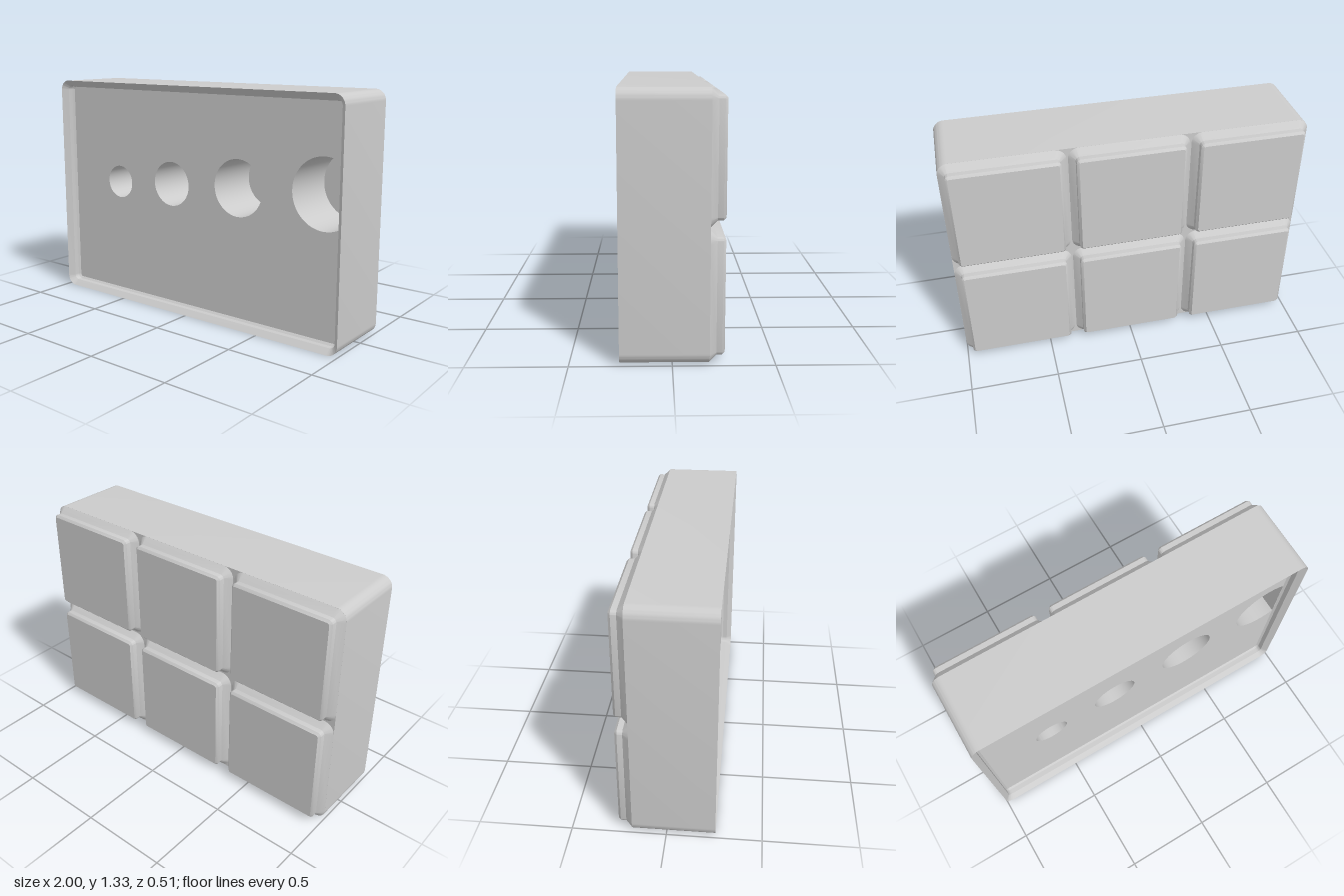
import * as THREE from 'three';
import { toCreasedNormals } from 'three/addons/utils/BufferGeometryUtils.js';

const W = 2, H = 1.331, R = 0.06;            // body outline
const FRONT = 0.256, FLOOR = 0.186, BACK = -0.18, FOOT = -0.256;
const HOLE_BOTTOM = -0.144, INSET = 0.0414;  // pocket depth, lip width

// Counter-clockwise rounded rectangle, shrunk by an inset
function roundedRect(w, h, r, inset = 0, seg = 12) {
  const pts = [], rad = Math.max(r - inset, 0.004);
  const cx = w / 2 - inset - rad, cy = h / 2 - inset - rad;
  [[1, 1], [-1, 1], [-1, -1], [1, -1]].forEach(([sx, sy], q) => {
    for (let i = 0; i <= seg; i++) {
      const a = (q + i / seg) * Math.PI / 2;
      pts.push(new THREE.Vector2(sx * cx + rad * Math.cos(a), sy * cy + rad * Math.sin(a)));
    }
  });
  return pts;
}

// Skin between outlines: rising z faces outward, falling z faces inward
function loft(sections) {
  const n = sections[0][0].length, pos = [], idx = [];
  for (const [pts, z] of sections) for (const p of pts) pos.push(p.x, p.y, z);
  for (let s = 0; s < sections.length - 1; s++) {
    for (let i = 0; i < n; i++) {
      const j = (i + 1) % n, a = s * n + i, b = s * n + j;
      idx.push(a, b, b + n, a, b + n, a + n);
    }
  }
  const g = new THREE.BufferGeometry();
  g.setAttribute('position', new THREE.Float32BufferAttribute(pos, 3));
  g.setIndex(idx);
  return toCreasedNormals(g, 0.6);
}

// Flat panel facing +z, or -z when back is true
function panel(pts, z, back = false, holes = []) {
  const shape = new THREE.Shape(pts);
  holes.forEach(h => shape.holes.push(new THREE.Path(h)));
  const g = new THREE.ShapeGeometry(shape);
  if (back) g.rotateY(Math.PI);
  return g.translate(0, 0, z);
}

// Round pocket outline, cut straight where it would reach the side wall
function pocketOutline(x, y, r) {
  const limit = W / 2 - INSET - 0.001 - x;
  const a = limit < r ? Math.acos(limit / r) : 0;
  const pts = [], n = 64;
  for (let i = 0; i < (a ? n + 1 : n); i++) {
    const t = a + (i / n) * (Math.PI * 2 - 2 * a);
    pts.push(new THREE.Vector2(x + r * Math.cos(t), y + r * Math.sin(t)));
  }
  return pts;
}

export function createModel() {
  const model = new THREE.Group();
  model.name = 'storageBin';
  const mat = new THREE.MeshStandardMaterial({ color: 0xcccccc });
  const add = (name, geometry, parent = model) => {
    const mesh = new THREE.Mesh(geometry, mat);
    mesh.name = name;
    parent.add(mesh);
    return mesh;
  };
  const outline = inset => roundedRect(W, H, R, inset);

  // Outer shell and back plate
  add('outerWall', loft([[outline(0), BACK], [outline(0), FRONT]]));
  add('backPlate', panel(outline(0), BACK, true));

  // Stepped stacking lip around the open front
  add('stackingLip', loft([
    [outline(0), FRONT], [outline(0.03), FRONT - 0.03],
    [outline(0.03), FLOOR + 0.011], [outline(INSET), FLOOR],
  ]));

  // Row of growing pockets sharing one bottom level
  const pockets = [[-0.57, 0.098], [-0.155, 0.13], [0.325, 0.161], [0.865, 0.193]]
    .map(([x, r]) => pocketOutline(x, 0.625 + r - H / 2, r));
  add('innerFace', panel(outline(INSET), FLOOR, false, pockets));
  pockets.forEach((p, i) => {
    add(`pocketWall${i + 1}`, loft([[p, FLOOR], [p, HOLE_BOTTOM]]));
    add(`pocketBottom${i + 1}`, panel(p, HOLE_BOTTOM));
  });

  // Grid of chamfered feet on the back
  const size = 0.661, pitch = 0.6693;
  const foot = inset => roundedRect(size, size, R, inset);
  const footSide = loft([
    [foot(0.047), FOOT], [foot(0.0343), FOOT + 0.0127],
    [foot(0.0343), BACK - 0.0343], [foot(0), BACK],
  ]);
  const footFace = panel(foot(0.047), FOOT, true);
  for (let col = -1; col <= 1; col++) {
    for (const row of [-0.5, 0.5]) {
      const g = new THREE.Group();
      g.name = 'foot';
      add('footSide', footSide, g);
      add('footFace', footFace, g);
      g.position.set(col * pitch, row * pitch, 0);
      model.add(g);
    }
  }

  // Stand the bin on the ground
  model.children.forEach(c => { c.position.y += H / 2; });
  return model;
}
